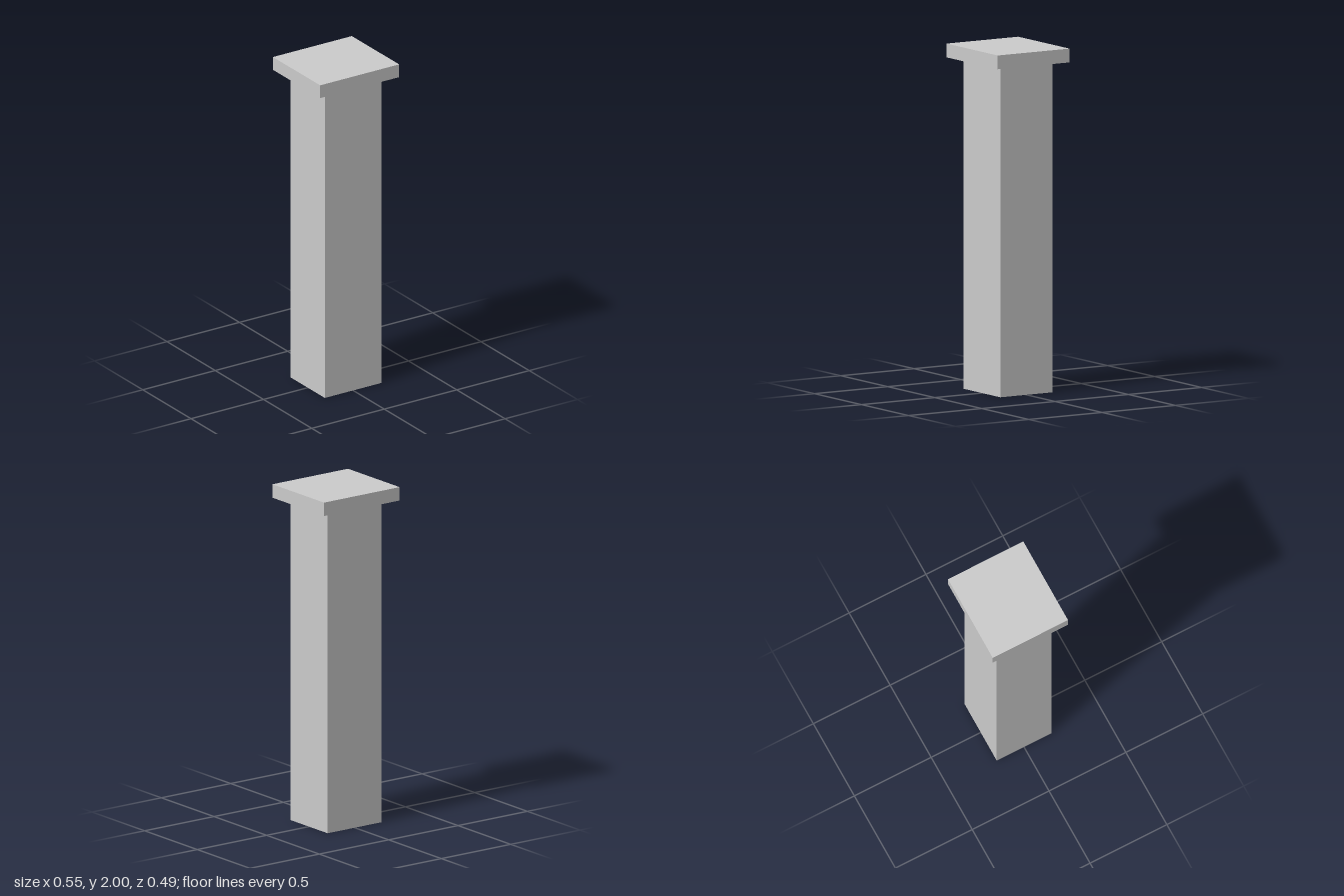
import * as THREE from 'three';

export function createModel() {
  const model = new THREE.Group();
  model.name = 'pillar';
  const material = new THREE.MeshStandardMaterial({ color: 0xcccccc, flatShading: true });

  // Box resting on the given height
  function addBlock(name, width, height, depth, bottom) {
    const mesh = new THREE.Mesh(new THREE.BoxGeometry(width, height, depth), material);
    mesh.name = name;
    mesh.position.y = bottom + height / 2;
    model.add(mesh);
  }

  const shaftHeight = 1.92;
  addBlock('shaft', 0.39, shaftHeight, 0.355, 0);
  // Overhanging slab on top
  addBlock('cap', 0.545, 2 - shaftHeight, 0.49, shaftHeight);

  return model;
}
